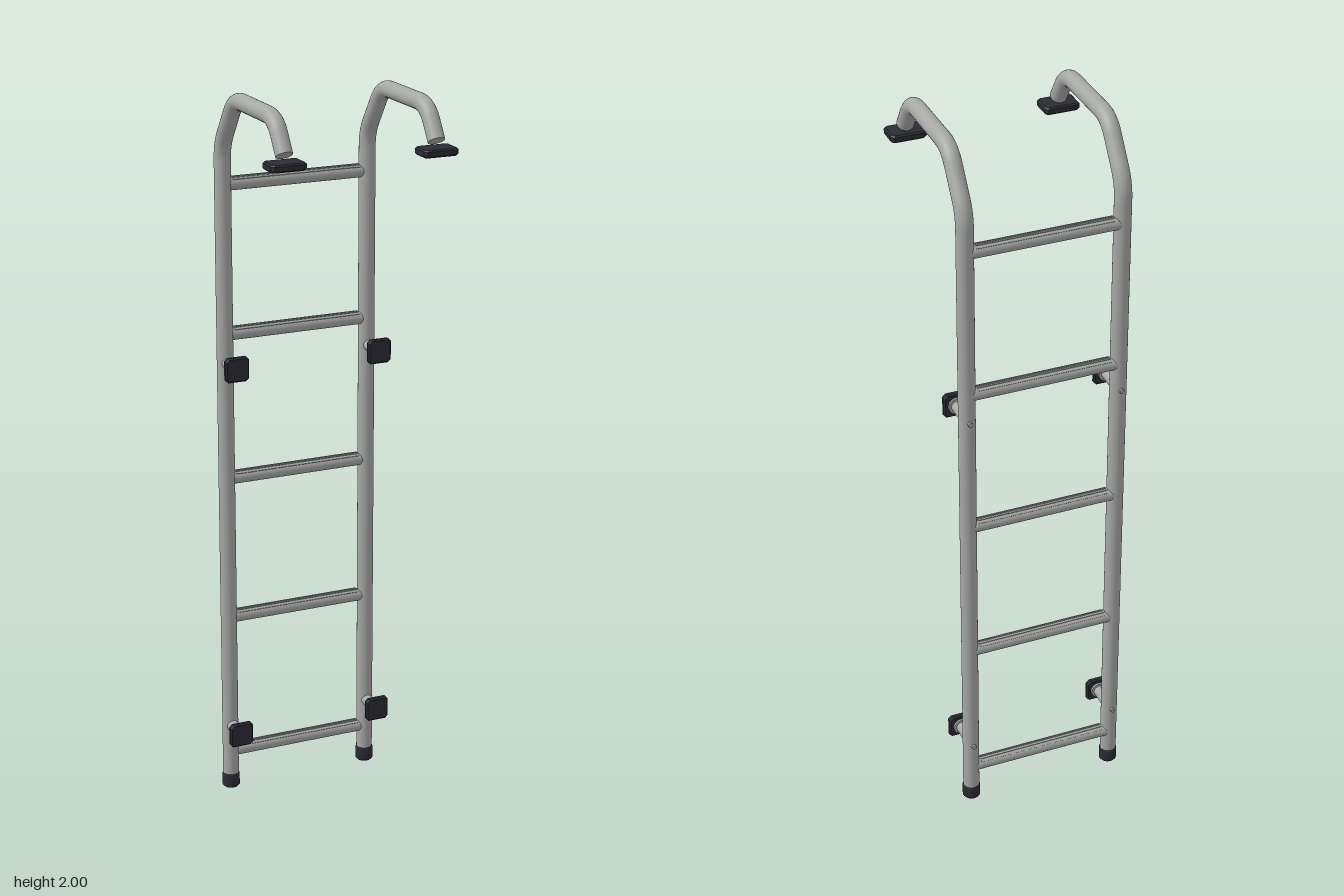
import * as THREE from 'three';

const RAIL_X = 0.208, RAIL_Z = -0.208, RAIL_R = 0.0225;

export function createModel() {
  const model = new THREE.Group();
  const metal = new THREE.MeshStandardMaterial({ color: 0xa6a8a6 });
  metal.name = 'brushed metal';
  const rubber = new THREE.MeshStandardMaterial({ color: 0x2b2b34 });
  rubber.name = 'black rubber';

  const add = (name, geometry, material, x = 0, y = 0, z = 0) => {
    const mesh = new THREE.Mesh(geometry, material);
    mesh.name = name;
    mesh.position.set(x, y, z);
    model.add(mesh);
    return mesh;
  };

  // Rectangular pad with cut corners and chamfered edges, thickness along z
  const padGeometry = (w, h, t) => {
    const b = 0.004, c = 0.006, x = w / 2 - b, y = h / 2 - b;
    const shape = new THREE.Shape([
      [x - c, -y], [x, -y + c], [x, y - c], [x - c, y],
      [-x + c, y], [-x, y - c], [-x, -y + c], [-x + c, -y],
    ].map(([px, py]) => new THREE.Vector2(px, py)));
    return new THREE.ExtrudeGeometry(shape, {
      depth: t - 2 * b, bevelEnabled: true, bevelThickness: b, bevelSize: b, bevelSegments: 1,
    }).translate(0, 0, -t / 2 + b);
  };

  // Rail centre line: straight segments joined by rounded corners, [y, z, corner setback]
  const corners = [
    [0.02, RAIL_Z, 0], [1.842, RAIL_Z, 0.04], [1.9775, -0.112, 0.045],
    [1.9775, 0.145, 0.045], [1.894, 0.199, 0],
  ];
  const points = corners.map(([y, z]) => new THREE.Vector3(0, y, z));
  const path = new THREE.CurvePath();
  let from = points[0];
  for (let i = 1; i < points.length - 1; i++) {
    const toward = (p) => p.clone().sub(points[i]).setLength(corners[i][2]).add(points[i]);
    const start = toward(points[i - 1]), end = toward(points[i + 1]);
    path.add(new THREE.LineCurve3(from, start));
    path.add(new THREE.QuadraticBezierCurve3(start, points[i], end));
    from = end;
  }
  const tip = points[points.length - 1];
  path.add(new THREE.LineCurve3(from, tip));

  const railGeometry = new THREE.TubeGeometry(path, 200, RAIL_R, 24);
  const tipDirection = tip.clone().sub(from).normalize();
  const footProfile = [[0, 0], [0.02, 0], [0.0245, 0.005], [0.0245, 0.038], [0.0225, 0.042], [0, 0.042]]
    .map(([r, y]) => new THREE.Vector2(r, y));

  for (const side of [1, -1]) {
    const x = side * RAIL_X, label = side > 0 ? 'left' : 'right';
    add(label + 'Rail', railGeometry, metal, x);

    // Closed end of the hooked top and its resting pad
    const end = add(label + 'RailEnd', new THREE.CircleGeometry(RAIL_R, 24), metal, x, tip.y, tip.z);
    end.quaternion.setFromUnitVectors(new THREE.Vector3(0, 0, 1), tipDirection);
    add(label + 'HookPad', padGeometry(0.096, 0.068, 0.02).rotateX(-Math.PI / 2), rubber, x, 1.869, 0.201);

    // Rubber foot
    add(label + 'Foot', new THREE.LatheGeometry(footProfile, 24), rubber, x, 0, RAIL_Z);

    // Stand-off brackets with wall pads and bolts
    for (const y of [0.193, 1.255]) {
      const arm = new THREE.CylinderGeometry(0.016, 0.016, 0.075, 20).rotateX(Math.PI / 2);
      add(label + 'BracketArm', arm, metal, x, y, -0.17);
      const flange = new THREE.CylinderGeometry(0.023, 0.023, 0.006, 20).rotateX(Math.PI / 2);
      add(label + 'BracketFlange', flange, metal, x, y, -0.138);
      add(label + 'WallPad', padGeometry(0.068, 0.068, 0.016), rubber, x, y, -0.127);
      const bolt = new THREE.CylinderGeometry(0.0065, 0.0065, 0.012, 12).rotateX(Math.PI / 2);
      add(label + 'Bolt', bolt, metal, x, y, -0.2305);
    }
  }

  // Rungs with raised grip ribs along the top
  for (let i = 0; i < 5; i++) {
    const y = 0.109 + i * 0.407, r = 0.018;
    const tube = new THREE.CylinderGeometry(r, r, 2 * RAIL_X - 0.02, 20, 1, true).rotateZ(Math.PI / 2);
    add('rung', tube, metal, 0, y, RAIL_Z - 0.002);
    for (const angle of [-0.72, -0.24, 0.24, 0.72]) {
      const rib = new THREE.BoxGeometry(0.366, 0.004, 0.004).translate(0, r, 0).rotateX(angle);
      add('rungGripRib', rib, metal, 0, y, RAIL_Z - 0.002);
    }
  }
  return model;
}
